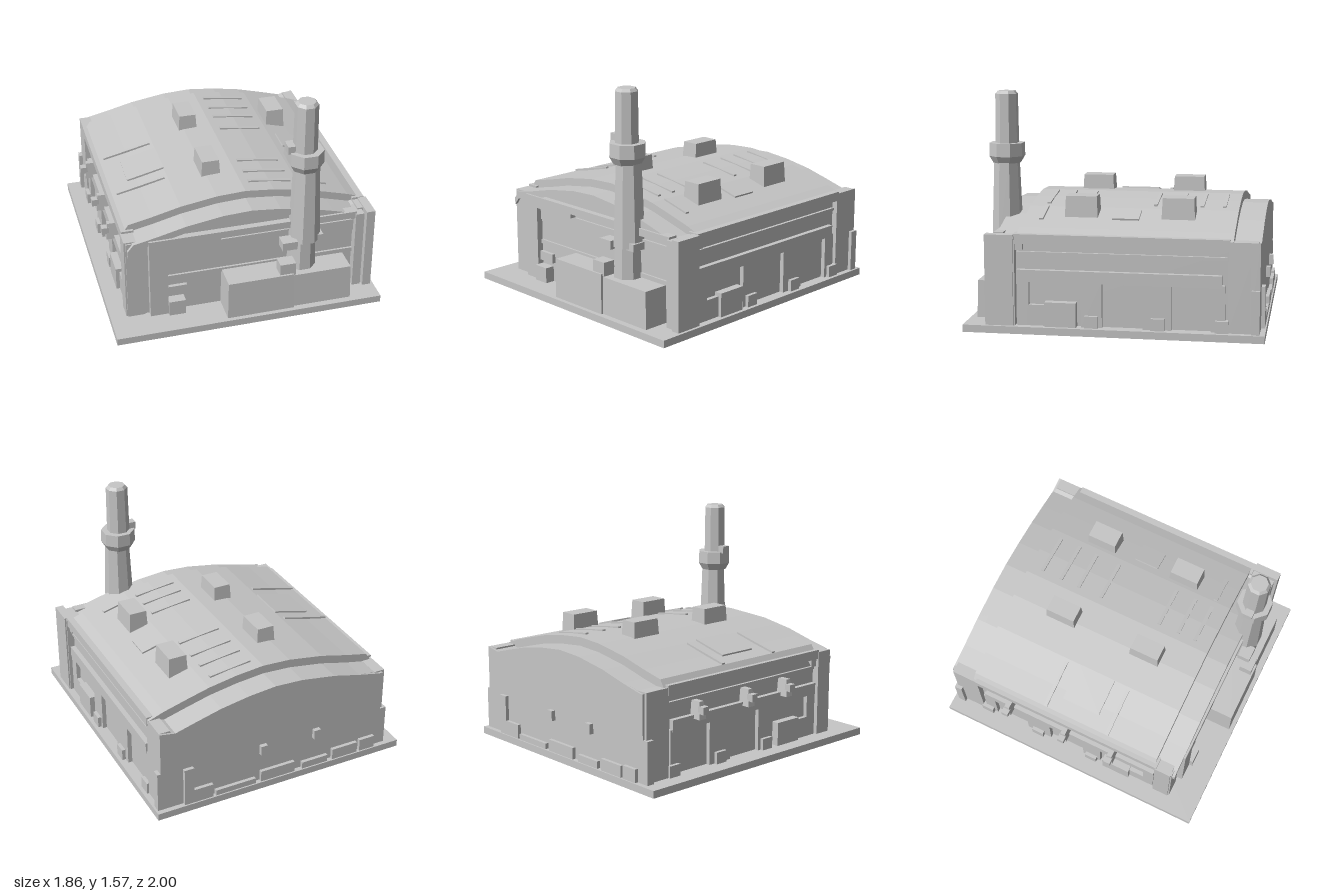
import * as THREE from 'three';

export function createModel() {
  const root = new THREE.Group();
  const grey = new THREE.MeshStandardMaterial({ color: 0xc6c6c6, flatShading: true });
  grey.name = 'plain grey';

  const add = (name, geo) => {
    const m = new THREE.Mesh(geo, grey);
    m.name = name;
    root.add(m);
    return m;
  };
  // Box given by its limits on each axis; taper narrows the top
  const box = (name, x0, x1, y0, y1, z0, z1, taper = 0) => {
    const g = new THREE.BoxGeometry(x1 - x0, y1 - y0, z1 - z0);
    const p = g.attributes.position;
    for (let i = 0; i < p.count; i++) {
      if (p.getY(i) > 0) {
        p.setX(i, p.getX(i) - Math.sign(p.getX(i)) * taper);
        p.setZ(i, p.getZ(i) - Math.sign(p.getZ(i)) * taper);
      }
    }
    const m = add(name, g);
    m.position.set((x0 + x1) / 2, (y0 + y1) / 2, (z0 + z1) / 2);
    return m;
  };
  // Cross-section in x and y, extruded from z0 to z1
  const slab = (name, pts, z0, z1) => {
    const shape = new THREE.Shape(pts.map(p => new THREE.Vector2(p[0], p[1])));
    add(name, new THREE.ExtrudeGeometry(shape, { depth: z1 - z0, bevelEnabled: false }).translate(0, 0, z0));
  };

  // Arched roof line, from the right eave to the left eave
  const arch = [[-0.8, 0.65], [-0.76, 0.7], [-0.6, 0.735], [-0.4, 0.785], [-0.15, 0.825], [0.05, 0.835],
    [0.25, 0.815], [0.45, 0.78], [0.62, 0.735], [0.78, 0.69], [0.88, 0.66]];
  const roofY = x => {
    let i = 1;
    while (i < arch.length - 1 && arch[i][0] < x) i++;
    const [a, b] = [arch[i - 1], arch[i]];
    return a[1] + (b[1] - a[1]) * (x - a[0]) / (b[0] - a[0]);
  };
  const under = (drop, floor, x0, x1) => [
    [x0, floor], [x1, floor], [x1, 0.65],
    ...arch.filter(p => p[0] > x0 + 0.02 && p[0] < x1 - 0.02).reverse().map(p => [p[0], p[1] - drop]),
    [x0, 0.64],
  ];

  // Ground plate, hall and roof
  box('basePlate', -0.93, 0.93, 0, 0.05, -1, 1);
  slab('hall', under(0.06, 0.04, -0.77, 0.85), -0.95, 0.77);
  slab('roof', under(0, 0.6, -0.8, 0.89), -0.79, 0.64);
  slab('rearGable', under(0.06, 0.04, -0.79, 0.89), -0.965, -0.9);

  // Front gable band with a sloped upper edge
  const band = arch.map(p => [p[0], p[1] - 0.055]);
  slab('frontGable', [...band.slice().reverse(), ...band.map(p => [p[0], p[1] - 0.05])], 0.6, 0.8);

  // Front frame, recessed wall and ledges
  box('frontPost', -0.66, -0.535, 0.05, 0.65, 0.75, 0.815);
  box('frontLintel', -0.66, -0.17, 0.575, 0.655, 0.75, 0.815);
  box('frontLintel', -0.17, 0.79, 0.605, 0.655, 0.75, 0.815);
  box('frontRail', -0.53, 0.79, 0.49, 0.575, 0.75, 0.785);
  box('frontRail', -0.53, 0.79, 0.31, 0.34, 0.75, 0.785);
  box('frontCrate', -0.535, -0.42, 0.05, 0.16, 0.75, 0.84);
  box('frontCrate', -0.535, -0.4, 0.19, 0.255, 0.75, 0.795);
  box('frontCornerPost', -0.81, -0.69, 0.05, 0.64, 0.68, 0.78);
  box('frontCornerPost', 0.78, 0.84, 0.05, 0.64, 0.7, 0.83);
  box('frontCornerPost', 0.85, 0.91, 0.05, 0.66, 0.66, 0.85);

  // Low annex in front
  box('annex', -0.16, 0.31, 0.05, 0.325, 0.76, 0.97, 0.006);
  box('annex', 0.3, 0.72, 0.05, 0.305, 0.76, 0.955, 0.006);

  // Chimney: shaft, collar and stack, eight-sided
  const tube = (name, x, rTop, rLow, y0, y1) => {
    const g = new THREE.CylinderGeometry(rTop, rLow, y1 - y0, 8).rotateY(Math.PI / 8);
    add(name, g).position.set(x, (y0 + y1) / 2, 0.81);
  };
  tube('chimneyFoot', 0.4, 0.09, 0.1, 0.28, 0.54);
  tube('chimneyShaft', 0.415, 0.088, 0.11, 0.52, 1.1);
  tube('chimneyCollar', 0.405, 0.125, 0.095, 1.07, 1.12);
  tube('chimneyCollar', 0.405, 0.122, 0.125, 1.12, 1.21);
  tube('chimneyStack', 0.4, 0.078, 0.082, 1.2, 1.545);
  tube('chimneyRim', 0.4, 0.06, 0.078, 1.545, 1.565);
  box('chimneyBracket', 0.275, 0.34, 1.2, 1.255, 0.78, 0.84);
  box('chimneyBracket', 0.235, 0.34, 0.49, 0.55, 0.82, 0.91);
  box('chimneyBracket', 0.21, 0.32, 0.31, 0.405, 0.86, 0.95);
  box('chimneyStep', 0.46, 0.53, 0.51, 0.56, 0.76, 0.88);

  // Roof vents in two rows
  for (const z of [-0.4, 0.255]) {
    box('roofVent', -0.19, -0.05, 0.76, 0.93, z - 0.115, z + 0.115, 0.01);
    box('roofVent', 0.47, 0.615, 0.68, 0.88, z - 0.115, z + 0.115, 0.01);
  }
  // Thin ribs lying on the roof slope
  const rib = (x0, x1, z, w) => {
    const [ya, yb] = [roofY(x0), roofY(x1)];
    const m = add('roofRib', new THREE.BoxGeometry(Math.hypot(x1 - x0, yb - ya), 0.02, w));
    m.position.set((x0 + x1) / 2, (ya + yb) / 2 + 0.002, z);
    m.rotation.z = Math.atan2(yb - ya, x1 - x0);
  };
  for (const z of [-0.69, -0.54, -0.4, -0.22, 0.24, 0.39, 0.52]) rib(0.1, 0.4, z, 0.025);
  for (const z of [-0.23, 0.25]) rib(-0.76, -0.42, z, 0.025);
  rib(-0.66, -0.4, 0.0, 0.28);
  rib(0.5, 0.64, -0.05, 0.18);
  rib(0.46, 0.66, 0.52, 0.03);

  // Side walls: s is the side, w the wall plane
  for (const [s, w] of [[1, 0.85], [-1, 0.77]]) {
    const panel = (name, out, y0, y1, z0, z1) => {
      const [a, b] = [s * (w - 0.04), s * (w + out)];
      box(name, Math.min(a, b), Math.max(a, b), y0, y1, z0, z1);
    };
    panel('sideEave', 0.045, 0.6, 0.665, -0.77, 0.66);
    panel('sideLedge', 0.02, 0.525, 0.545, -0.75, 0.64);
    panel('sideBelt', 0.035, 0.345, 0.425, -0.72, 0.64);
    panel('sideCorner', 0.05, 0.05, 0.65, 0.65, 0.77);
    panel('sideCorner', 0.04, 0.05, 0.65, -0.95, -0.76);
    panel('cornerFoot', 0.065, 0.05, 0.34, -0.965, -0.91);
    for (const [z0, z1] of [[0.56, 0.64], [0.07, 0.21], [-0.39, -0.2], [-0.74, -0.65]]) {
      panel('sidePost', 0.03, 0.05, 0.36, z0, z1);
    }
    for (const z of [0.14, -0.3, -0.72]) panel('postFoot', 0.055, 0.05, 0.13, z - 0.045, z + 0.045);
    panel('sideCrate', 0.055, 0.05, 0.215, 0.24, 0.45);
    panel('sideCrate', 0.03, 0.05, 0.19, 0.45, 0.57);
  }
  // Lamp brackets on the right wall
  for (const z of [-0.51, -0.06, 0.31]) {
    box('wallLamp', -0.86, -0.76, 0.4, 0.52, z - 0.03, z + 0.03, 0.012);
    box('wallLamp', -0.89, -0.84, 0.44, 0.49, z - 0.025, z + 0.025);
  }

  // Rear wall: low crates, a pipe box and small fittings
  for (const [x0, x1, h] of [[-0.74, -0.62, 0.14], [-0.6, -0.4, 0.13], [-0.36, -0.16, 0.1], [-0.1, 0.16, 0.13],
    [0.2, 0.5, 0.09], [0.52, 0.68, 0.15]]) {
    box('rearCrate', x0, x1, 0.05, h, -0.99, -0.95);
  }
  box('rearPipeBox', 0.66, 0.73, 0.05, 0.33, -0.99, -0.95);
  for (const x of [-0.27, 0.14]) box('rearFitting', x - 0.025, x + 0.025, 0.27, 0.34, -0.995, -0.95);

  return root;
}
